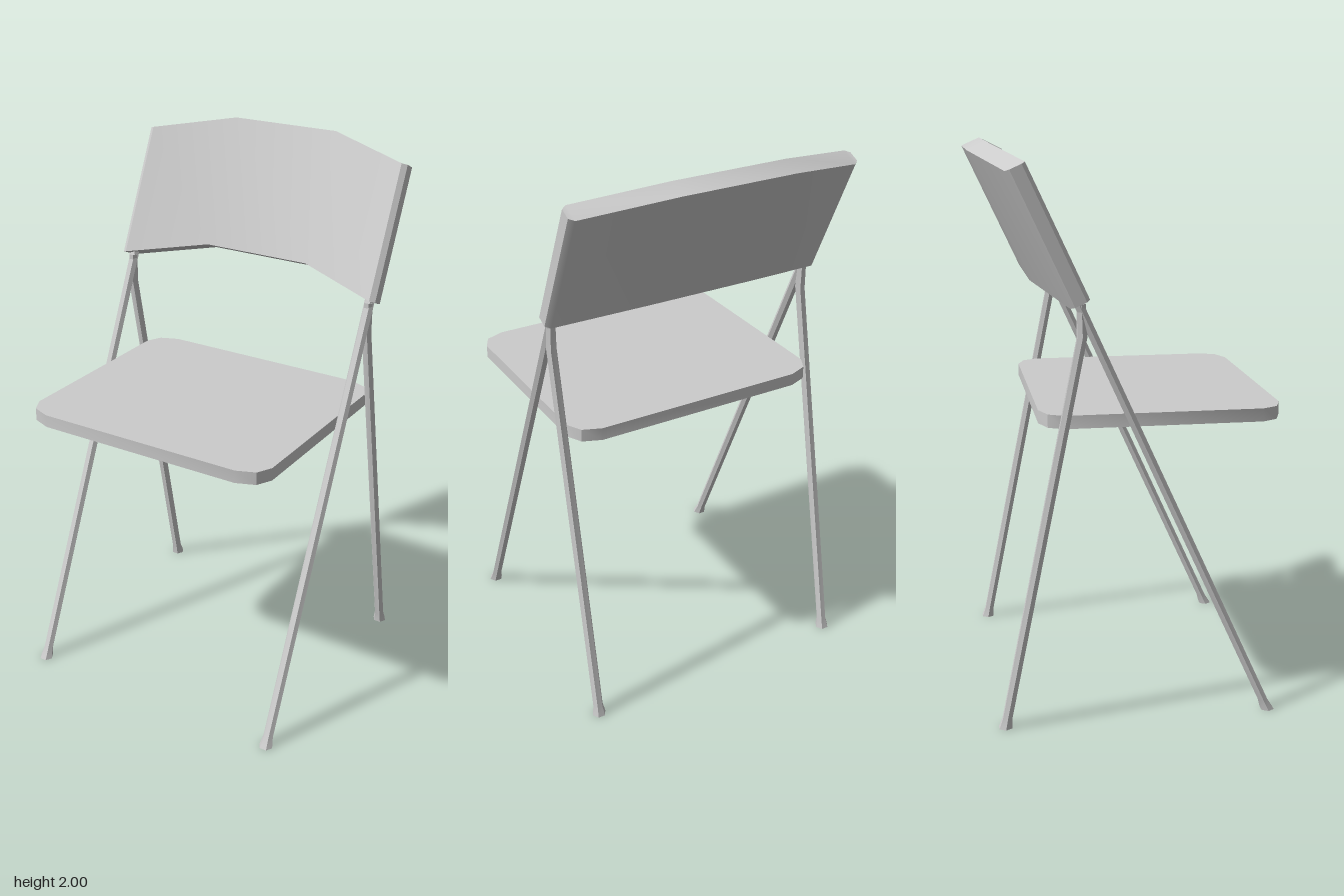
import * as THREE from 'three';
import { toCreasedNormals } from 'three/addons/utils/BufferGeometryUtils.js';

const material = new THREE.MeshStandardMaterial({ color: 0xcccccc });

// Skins convex cross-sections (each counter-clockwise around the travel direction) and caps both ends.
function loft(rings) {
  const n = rings[0].length;
  const last = (rings.length - 1) * n;
  const index = [];
  for (let i = 0; i < rings.length - 1; i++) {
    for (let j = 0; j < n; j++) {
      const a = i * n + j, b = i * n + (j + 1) % n;
      index.push(a, b, b + n, a, b + n, a + n);
    }
  }
  for (let j = 1; j < n - 1; j++) {
    index.push(0, j + 1, j, last, last + j, last + j + 1);
  }
  const geometry = new THREE.BufferGeometry();
  geometry.setAttribute('position', new THREE.Float32BufferAttribute(rings.flat(2), 3));
  geometry.setIndex(index);
  return geometry;
}

function addPart(group, name, geometry) {
  const mesh = new THREE.Mesh(toCreasedNormals(geometry, 0.6), material);
  mesh.name = name;
  group.add(mesh);
}

// Six-sided leg through points [y, z, radius], with level cross-sections
function legGeometry(x, path) {
  return loft(path.map(([y, z, r]) => Array.from({ length: 6 }, (_, k) => {
    const a = k * Math.PI / 3;
    return [x + r * Math.cos(a), y, z - r * Math.sin(a)];
  })));
}

// Slab with polygonal rounded corners
function seatGeometry() {
  const cz = 0.1025, hz = 0.4225, hx = 0.487;
  const corner = [[hx, hz - 0.08], [hx - 0.028, hz - 0.026], [hx - 0.095, hz]];
  const mirrored = (sx, sy) => corner.map(([x, y]) => new THREE.Vector2(x * sx, y * sy));
  const outline = [
    ...mirrored(1, 1), ...mirrored(-1, 1).reverse(),
    ...mirrored(-1, -1), ...mirrored(1, -1).reverse(),
  ];
  const geometry = new THREE.ExtrudeGeometry(new THREE.Shape(outline), { depth: 0.046, bevelEnabled: false });
  return geometry.rotateX(-Math.PI / 2).translate(0, 1.065, cz);
}

// Leaning panel, bent at two places and chamfered at its ends
function backrestGeometry() {
  // x, then y and z of the lower front edge, then thickness as a share of the full one
  const half = [[0.21, 1.558, -0.26, 1], [0.52, 1.505, -0.157, 1], [0.538, 1.499, -0.169, 0.6]];
  const stations = [...half.map(([x, ...rest]) => [-x, ...rest]).reverse(), ...half];
  const riseY = 0.442, riseZ = -0.205;
  return loft(stations.map(([x, y, z, t]) => {
    const by = y - 0.029 * t, bz = z - 0.065 * t;
    return [[x, y, z], [x, by, bz], [x, by + riseY, bz + riseZ], [x, y + riseY, z + riseZ]];
  }));
}

export function createModel() {
  const model = new THREE.Group();
  model.name = 'foldingChair';

  addPart(model, 'seat', seatGeometry());
  addPart(model, 'backrest', backrestGeometry());

  // Legs with flared feet; the front ones run up into the backrest
  const frontPath = [[0, 0.483, 0.026], [0.035, 0.467, 0.019], [1.62, -0.253, 0.019]];
  const backPath = [[0, -0.46, 0.026], [0.035, -0.453, 0.019], [1.38, -0.182, 0.019], [1.49, -0.185, 0.017]];
  for (const [side, x] of [['left', 0.505], ['right', -0.505]]) {
    addPart(model, side + 'FrontLeg', legGeometry(x, frontPath));
    addPart(model, side + 'BackLeg', legGeometry(x, backPath));
  }
  return model;
}
